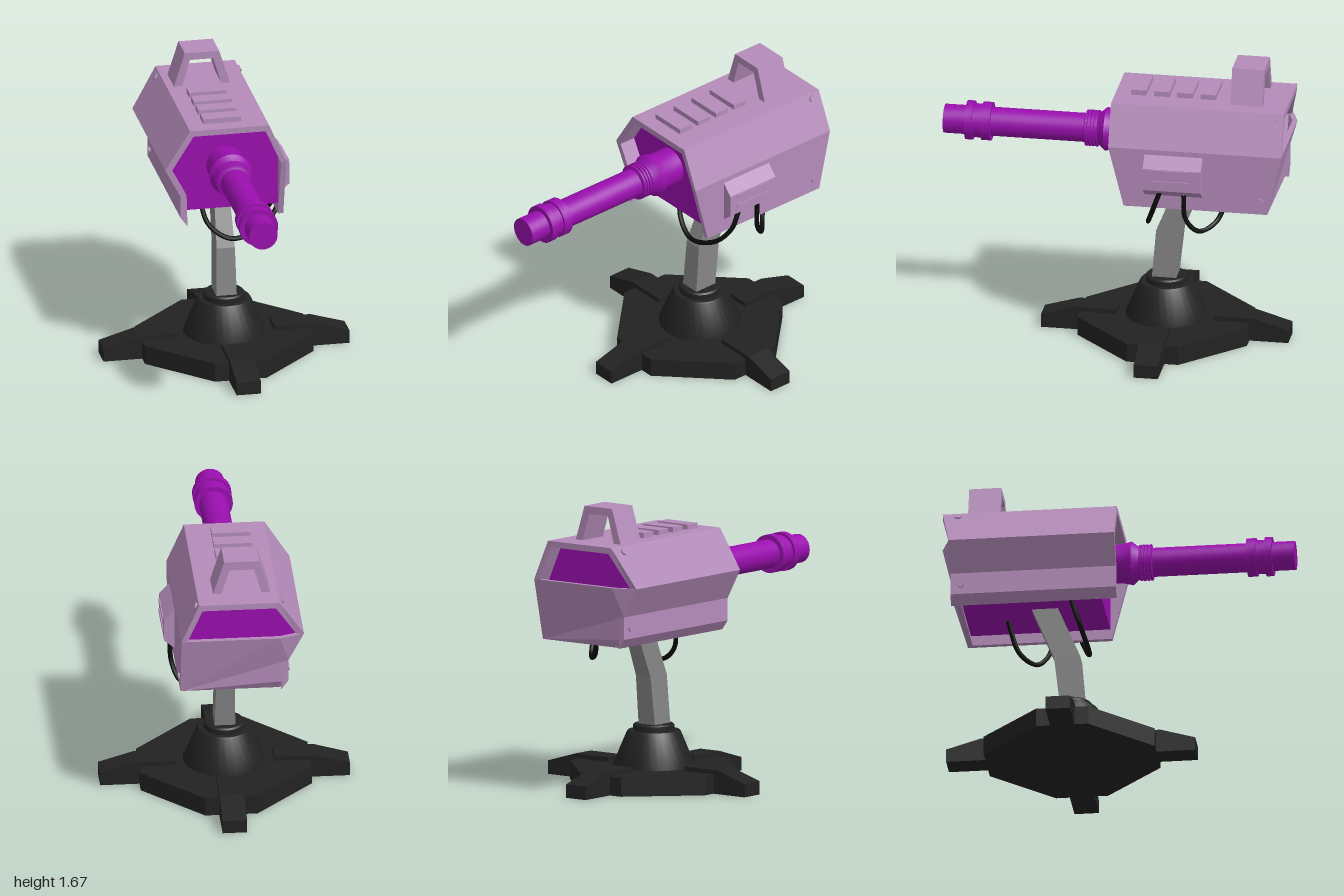
import * as THREE from 'three';
import { toCreasedNormals } from 'three/addons/utils/BufferGeometryUtils.js';

const paint = (color) => new THREE.MeshStandardMaterial({ color, side: THREE.DoubleSide });

export function createModel() {
  const model = new THREE.Group();
  const shellMat = paint(0xb48cba), coreMat = paint(0x9a0fae);
  const baseMat = paint(0x222222), cableMat = paint(0x0c0c0c), postMat = paint(0x858585);

  function add(name, geometry, material, parent = model) {
    const mesh = new THREE.Mesh(geometry, material);
    mesh.name = name;
    parent.add(mesh);
    return mesh;
  }
  // Outline in x,y pulled along z from z0 to z1
  function prism(points, z0, z1) {
    const shape = new THREE.Shape(points.map(([x, y]) => new THREE.Vector2(x, y)));
    return new THREE.ExtrudeGeometry(shape, { depth: z1 - z0, bevelEnabled: false }).translate(0, 0, z0);
  }
  // Turned part with sharp edges, points are [radius, height]
  function turned(points) {
    const g = new THREE.LatheGeometry(points.map(([r, h]) => new THREE.Vector2(r, h)), 32);
    return toCreasedNormals(g, 0.5);
  }

  // Housing ends: the front and back slope inward below the widest line
  const slope = (y) => THREE.MathUtils.clamp((1.24 - y) / 0.355, 0, 1);
  const frontZ = (x, y) => (x > 0.2 ? -0.09 * slope(y) : 0);
  const backZ = (x, y) => (x < -0.262 ? -0.95 : -1 + 0.08 * slope(y));
  function fitEnds(geometry, rule) {
    const p = geometry.attributes.position;
    for (let i = 0; i < p.count; i++) p.setZ(i, rule(p.getX(i), p.getY(i), p.getZ(i)));
    geometry.computeVertexNormals();
    return geometry;
  }

  // Housing shell, open underneath
  const outer = [[-0.27, 0.885], [-0.31, 0.94], [-0.31, 1.07], [-0.40, 1.24],
    [-0.255, 1.47], [0.205, 1.47], [0.305, 1.24], [0.305, 0.885]];
  const inner = [[0.275, 0.885], [0.275, 1.23], [0.185, 1.435],
    [-0.235, 1.435], [-0.36, 1.235], [-0.275, 1.075]];
  add('housingShell', fitEnds(prism([...outer, ...inner], 0, 1),
    (x, y, z) => (z > 0.5 ? frontZ(x, y) : backZ(x, y))), shellMat);

  // Lower back panel
  const panel = [[-0.26, 0.885], [-0.31, 0.94], [-0.31, 1.07], [-0.40, 1.24],
    [-0.26, 1.24], [0.305, 1.24], [0.305, 0.885]];
  add('backPanel', fitEnds(prism(panel, 0, 1),
    (x, y, z) => backZ(x, y) + (z > 0.5 ? 0.03 : 0)), shellMat);

  // Inner body
  add('innerBody', prism([[0.275, 0.945], ...inner.slice(1), [-0.272, 0.945]], -0.9, -0.1), coreMat);

  // Barrel with rear ribs and muzzle rings
  const barrel = [[0, -0.11], [0.11, -0.11], [0.11, 0], [0.125, 0.065], [0.095, 0.1]];
  for (let i = 0; i < 4; i++) {
    const z = 0.105 + i * 0.02;
    barrel.push([0.092, z], [0.104, z + 0.002], [0.104, z + 0.014], [0.092, z + 0.016]);
  }
  barrel.push([0.083, 0.185], [0.083, 0.725], [0.11, 0.725], [0.11, 0.78], [0.097, 0.78],
    [0.097, 0.83], [0.112, 0.83], [0.112, 0.872], [0.083, 0.872], [0.083, 1], [0, 1]);
  add('barrel', turned(barrel).rotateX(Math.PI / 2), coreMat).position.set(-0.03, 1.21, 0);

  // Carrying handle
  add('handle', prism([[-0.215, 1.465], [-0.15, 1.67], [0.05, 1.67], [0.115, 1.465],
    [0.065, 1.465], [0.015, 1.627], [-0.12, 1.627], [-0.165, 1.465]], -0.86, -0.675), shellMat);

  // Raised blocks along the top
  for (let i = 0; i < 4; i++) {
    add('topBlock', new THREE.BoxGeometry(0.22, 0.04, 0.09), shellMat)
      .position.set(-0.05, 1.48, -0.135 - i * 0.134);
  }

  // Side cable box with slats
  add('cableBox', prism([[0.29, 1.215], [0.305, 1.21], [0.365, 1.145], [0.365, 1.015],
    [0.305, 0.965], [0.29, 0.965]], -0.545, -0.21), shellMat);
  for (const y of [1.13, 1.064]) {
    add('slat', new THREE.BoxGeometry(0.014, 0.024, 0.225), shellMat).position.set(0.365, y, -0.373);
  }

  // Screws near the back of the housing
  for (const [x, y, z, tilt] of [[0.218, 1.44, -0.94, -1.16], [-0.273, 1.44, -0.91, 1.01],
    [0.305, 0.96, -0.88, -Math.PI / 2], [-0.31, 1.0, -0.89, Math.PI / 2]]) {
    const screw = add('screw', new THREE.CylinderGeometry(0.02, 0.02, 0.02, 12), shellMat);
    screw.position.set(x, y, z);
    screw.rotation.z = tilt;
  }

  // Hanging cables
  const cables = [
    [[0.325, 1.0, -0.305], [0.315, 0.89, -0.265], [0.22, 0.77, -0.22], [0.03, 0.707, -0.195],
      [-0.1, 0.79, -0.225], [-0.15, 0.96, -0.28]],
    [[0.325, 0.985, -0.44], [0.315, 0.83, -0.45], [0.27, 0.742, -0.52], [0.17, 0.775, -0.61],
      [0.105, 0.96, -0.67]]];
  for (const path of cables) {
    const curve = new THREE.CatmullRomCurve3(path.map((p) => new THREE.Vector3(...p)));
    add('cable', new THREE.TubeGeometry(curve, 40, 0.014, 8), cableMat);
  }

  // Bent post from square cross-sections: [y, half width, front z, back z]
  const levels = [[0.33, 0.06, -0.21, -0.35], [0.635, 0.053, -0.235, -0.385], [0.95, 0.044, -0.365, -0.515]];
  const corners = levels.map(([y, w, f, b]) => [[-w, y, f], [w, y, f], [w, y, b], [-w, y, b]]);
  const post = [];
  for (let i = 0; i < 2; i++) {
    for (let j = 0; j < 4; j++) {
      const k = (j + 1) % 4;
      const [a, b, c, d] = [corners[i][j], corners[i][k], corners[i + 1][k], corners[i + 1][j]];
      post.push(...a, ...b, ...c, ...a, ...c, ...d);
    }
  }
  const postGeometry = new THREE.BufferGeometry();
  postGeometry.setAttribute('position', new THREE.Float32BufferAttribute(post, 3));
  postGeometry.computeVertexNormals();
  add('post', postGeometry, postMat);

  // Base: eight-sided plate, cone with collar and four feet
  const base = new THREE.Group();
  base.name = 'base';
  base.position.z = -0.287;
  model.add(base);
  const a = 0.15, b = 0.49;
  add('plate', prism([[a, b], [b, a], [b, -a], [a, -b], [-a, -b], [-b, -a], [-b, a], [-a, b]], 0, 0.11)
    .rotateX(-Math.PI / 2), baseMat, base);
  add('cone', turned([[0.235, 0.1], [0.235, 0.115], [0.155, 0.305], [0.148, 0.315], [0.118, 0.315],
    [0.118, 0.345], [0.11, 0.353], [0, 0.353]]), baseMat, base);
  for (let i = 0; i < 4; i++) {
    add('foot', prism([[0.2, 0], [0.2, 0.11], [0.28, 0.11], [0.28, 0.137], [0.515, 0.137],
      [0.715, 0.078], [0.715, 0]], -0.07, 0.07), baseMat, base).rotation.y = i * Math.PI / 2;
  }
  return model;
}
